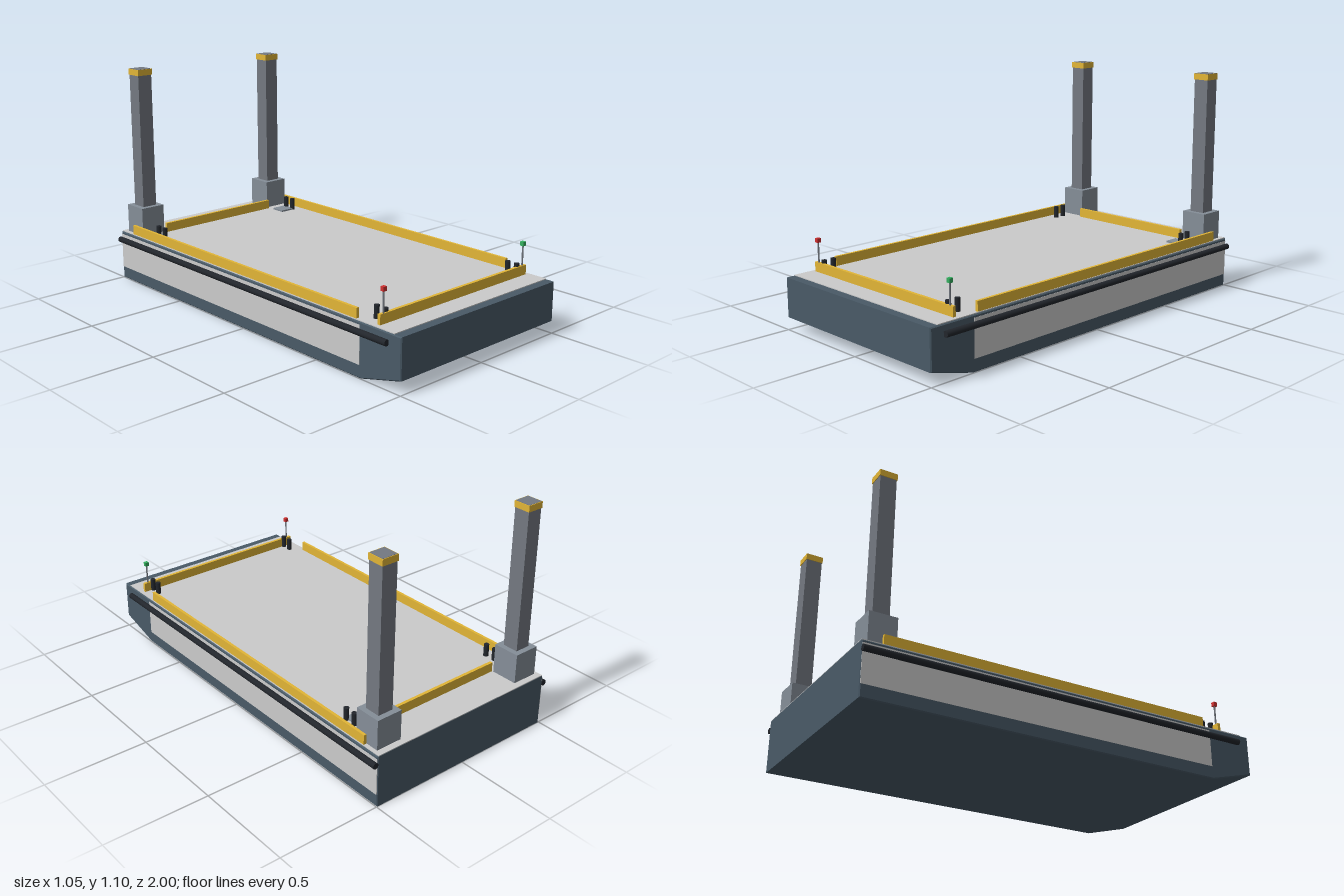
import * as THREE from 'three';

const mat = (color) => new THREE.MeshStandardMaterial({ color });

export function createModel() {
  const barge = new THREE.Group();
  barge.name = 'barge';

  const blue = mat(0x495a67), grey = mat(0xcccccc), gold = mat(0xe2b536);
  const steel = mat(0x747981), casingGrey = mat(0x858e98), black = mat(0x22262c);
  const red = mat(0xd03030), green = mat(0x35b060);

  const add = (name, geometry, material, x, y, z) => {
    const mesh = new THREE.Mesh(geometry, material);
    mesh.name = name;
    mesh.position.set(x, y, z);
    barge.add(mesh);
    return mesh;
  };
  // Box given by its size, its centre in x and z, and its underside
  const box = (name, material, w, h, d, x, bottom, z) =>
    add(name, new THREE.BoxGeometry(w, h, d), material, x, bottom + h / 2, z);
  // Upright cylinder standing on a given height
  const post = (name, material, r, h, x, bottom, z, sides = 12) =>
    add(name, new THREE.CylinderGeometry(r, r, h, sides), material, x, bottom + h / 2, z);

  // Hull: side profile with a raked bow, extruded across with a small bevel
  const b = 0.005;
  const profile = new THREE.Shape([
    [-1 + b, b], [0.77, b], [1 - b, 0.06 + b], [1 - b, 0.25 - b], [-1 + b, 0.25 - b],
  ].map(([z, y]) => new THREE.Vector2(z, y)));
  const hullGeometry = new THREE.ExtrudeGeometry(profile, {
    depth: 1 - 2 * b, bevelEnabled: true, bevelSize: b, bevelThickness: b, bevelSegments: 1,
  });
  hullGeometry.translate(0, 0, -0.5 + b);
  hullGeometry.rotateY(-Math.PI / 2);
  add('hull', hullGeometry, blue, 0, 0, 0);

  // Deck plate
  box('deck', grey, 0.99, 0.008, 1.957, 0, 0.246, -0.0205);

  // Low bulwarks across the bow and the stern
  box('bowBulwark', gold, 0.95, 0.05, 0.015, 0, 0.25, 0.85);
  box('sternBulwark', gold, 0.685, 0.05, 0.015, 0, 0.25, -0.825);

  for (const s of [-1, 1]) {
    // Side plating, fender and bulwark
    box('sidePlating', grey, 0.01, 0.177, 1.762, s * 0.496, 0.06, -0.116);
    const fender = add('fender', new THREE.CylinderGeometry(0.0145, 0.0145, 1.93, 12), black,
      s * 0.51, 0.209, -0.035);
    fender.rotation.x = Math.PI / 2;
    box('sideBulwark', gold, 0.014, 0.05, 1.64, s * 0.485, 0.25, -0.083);

    // Spud post in its casing, with a coloured band at the top
    const x = s * 0.411, z = -0.903;
    box('spudCasing', casingGrey, 0.13, 0.147, 0.13, x, 0.25, z);
    box('spudPost', steel, 0.077, 0.851, 0.077, x, 0.25, z);
    box('spudBand', gold, 0.083, 0.03, 0.083, x, 1.07, z);

    // Mooring bollards in pairs
    for (const bz of [0.84, 0.79, -0.715, -0.767]) {
      post('bollard', black, 0.0125, 0.064, s * 0.427, 0.25, bz);
    }

    // Navigation light on a thin pole
    post('lightPole', steel, 0.004, 0.147, s * 0.452, 0.25, 0.852, 8);
    box('navigationLight', s < 0 ? red : green, 0.019, 0.02, 0.019, s * 0.452, 0.395, 0.852);
  }

  // Deck hatch
  box('hatch', casingGrey, 0.078, 0.012, 0.075, 0.384, 0.25, -0.744);

  return barge;
}
